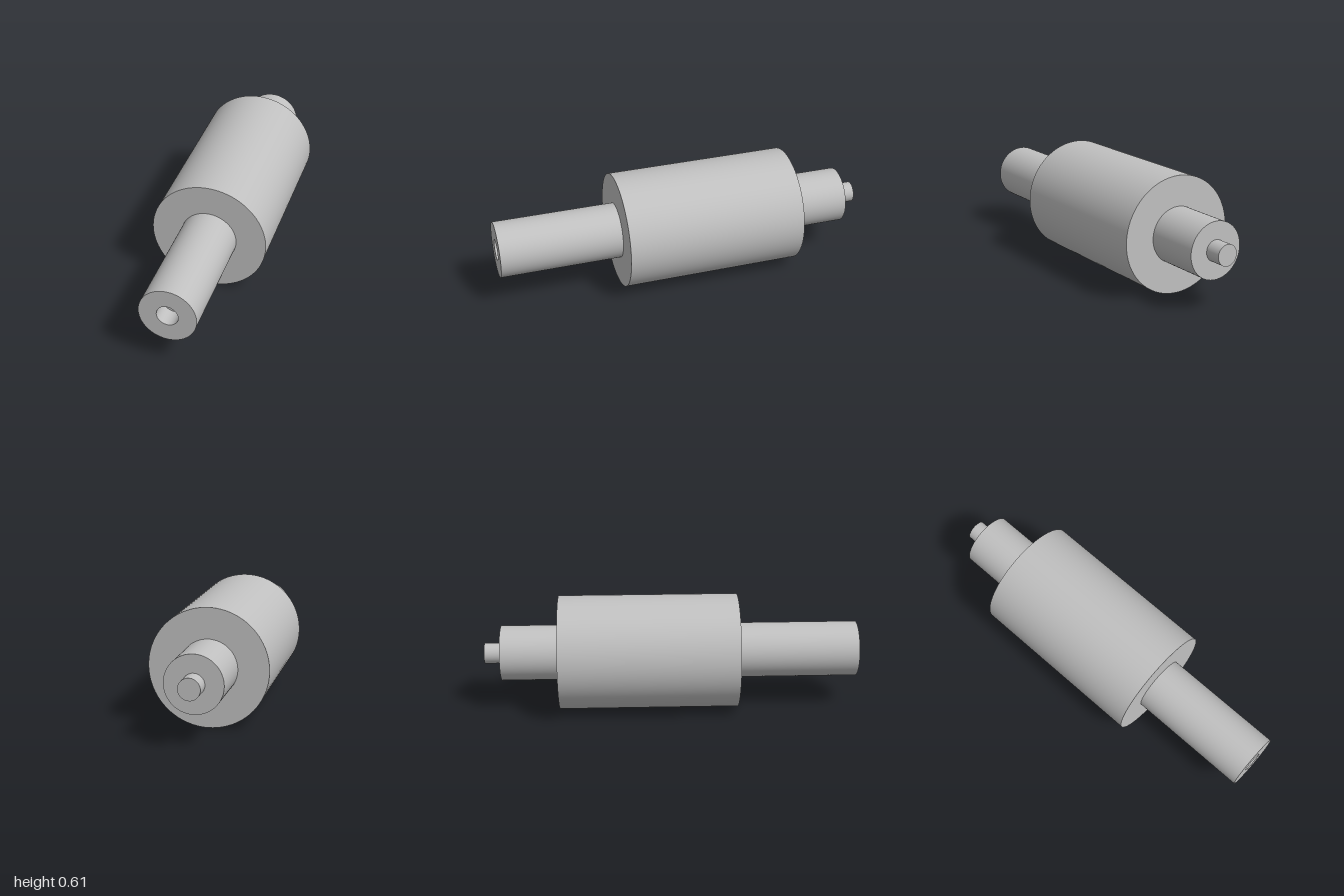
import * as THREE from 'three';
import { mergeGeometries } from 'three/addons/utils/BufferGeometryUtils.js';

const BARREL_R = 0.305, SHAFT_R = 0.147, PIN_R = 0.055;
const SEGMENTS = 96;

// Turns a [radius, z] profile about the z axis, keeping every profile corner sharp.
function turned(name, profile, material) {
  const bands = profile.slice(1).map((end, i) =>
    new THREE.LatheGeometry(
      [new THREE.Vector2(...profile[i]), new THREE.Vector2(...end)], SEGMENTS));
  const geometry = mergeGeometries(bands);
  geometry.rotateX(Math.PI / 2);
  const mesh = new THREE.Mesh(geometry, material);
  mesh.name = name;
  return mesh;
}

export function createModel() {
  const steel = new THREE.MeshStandardMaterial({ color: 0xc0c0c0 });
  steel.name = 'plain steel';

  const roller = new THREE.Group();
  roller.name = 'roller';
  roller.position.y = BARREL_R;

  roller.add(
    // Wide drum with its two end shoulders
    turned('barrel', [
      [SHAFT_R, -0.6], [BARREL_R, -0.6], [BARREL_R, 0.355], [SHAFT_R, 0.355],
    ], steel),
    // Long front shaft with a blind socket in its end
    turned('frontShaft', [
      [SHAFT_R, 0.355], [SHAFT_R, 1], [PIN_R, 1], [PIN_R, 0.9], [0, 0.9],
    ], steel),
    // Short rear shaft
    turned('rearShaft', [
      [PIN_R, -0.91], [SHAFT_R, -0.91], [SHAFT_R, -0.6],
    ], steel),
    // Small pin at the rear tip
    turned('rearPin', [
      [0, -1], [PIN_R, -1], [PIN_R, -0.91],
    ], steel),
  );

  const model = new THREE.Group();
  model.name = 'rollerModel';
  model.add(roller);
  return model;
}
